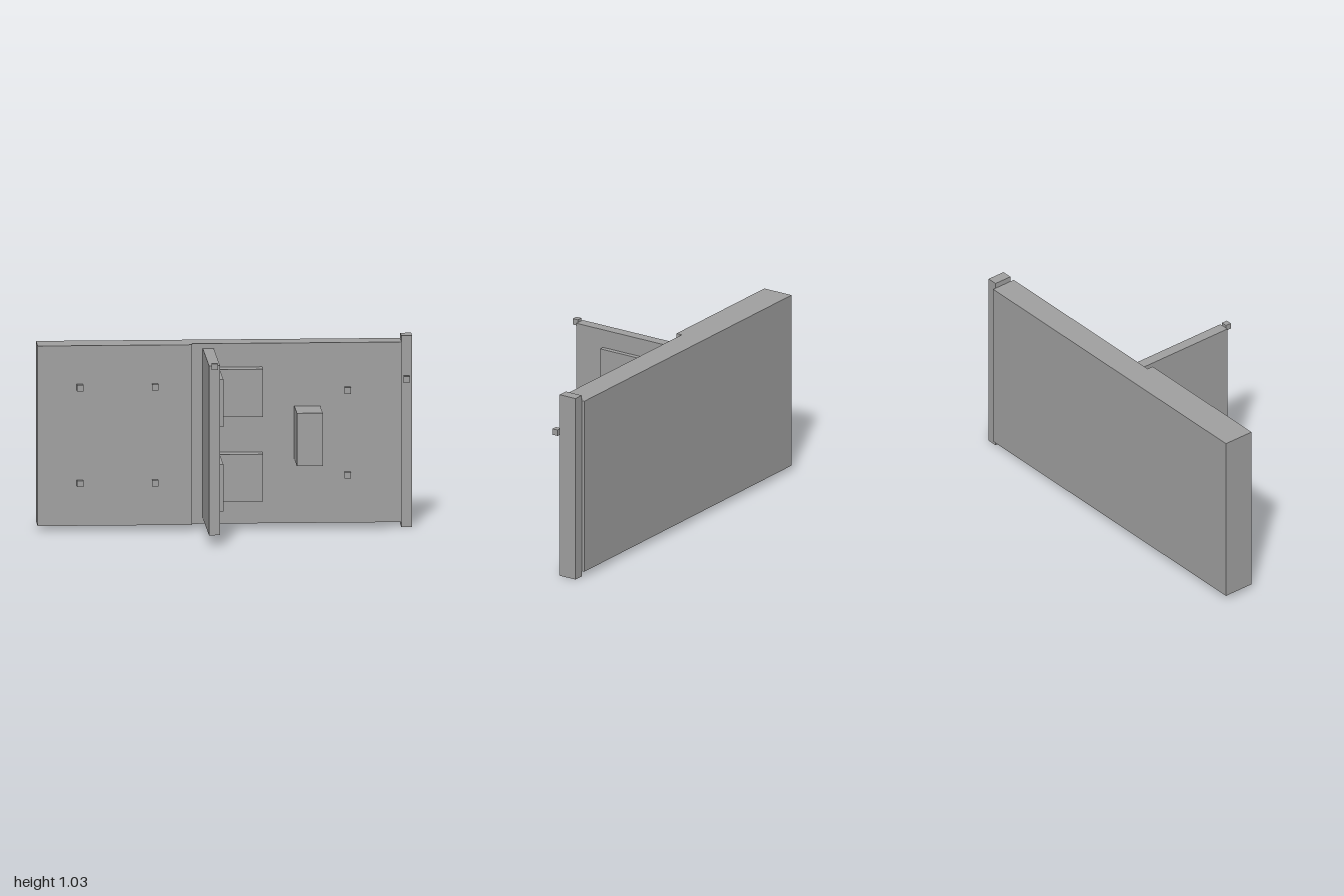
import * as THREE from 'three';

export function createModel() {
  const model = new THREE.Group();
  model.name = 'panelAssembly';
  const grey = new THREE.MeshStandardMaterial({ color: 0xa0a0a0 });
  grey.name = 'grey';

  // Box given by its extents along each axis
  const box = (name, [x0, x1], [y0, y1], [z0, z1]) => {
    const mesh = new THREE.Mesh(new THREE.BoxGeometry(x1 - x0, y1 - y0, z1 - z0), grey);
    mesh.position.set((x0 + x1) / 2, (y0 + y1) / 2, (z0 + z1) / 2);
    mesh.name = name;
    model.add(mesh);
  };
  // Small cube standing forward from depth z
  const s = 0.0167;
  const knob = (name, x, y, z) => box(name, [x - s, x + s], [y - s, y + s], [z, z + 2 * s]);

  const back = -0.387, face = -0.245, thickFace = -0.211;

  // Main wall: thicker right half, thinner left half, and end post
  box('thickWall', [-1, -0.176], [0.03, 1], [back, thickFace]);
  box('thinWall', [-0.176, 0.942], [0.03, 1], [back, face]);
  box('endPost', [0.942, 1], [0, 1.03], [-0.371, -0.268]);

  // Upright fin standing out from the wall
  box('fin', [-0.118, -0.059], [0.06, 0.973], [face, 0.354]);
  knob('finKnob', -0.089, 0.972, 0.354);

  // Two L-shaped brackets in the corner of fin and wall
  for (const y of [[0.16, 0.415], [0.616, 0.873]]) {
    box('bracketFinPlate', [-0.059, -0.032], y, [face, 0.183]);
    box('bracketWallBlock', [-0.032, 0.199], y, [face, -0.159]);
  }

  // Protruding box on the thin wall
  box('wallBox', [0.37, 0.508], [0.375, 0.66], [face, 0.01]);

  // Wall knobs
  for (const x of [-0.775, -0.375])
    for (const y of [0.26, 0.776]) knob('thickWallKnob', x, y, thickFace);
  for (const y of [0.288, 0.745]) knob('thinWallKnob', 0.654, y, face);
  knob('postKnob', 0.968, 0.802, -0.244);

  return model;
}
